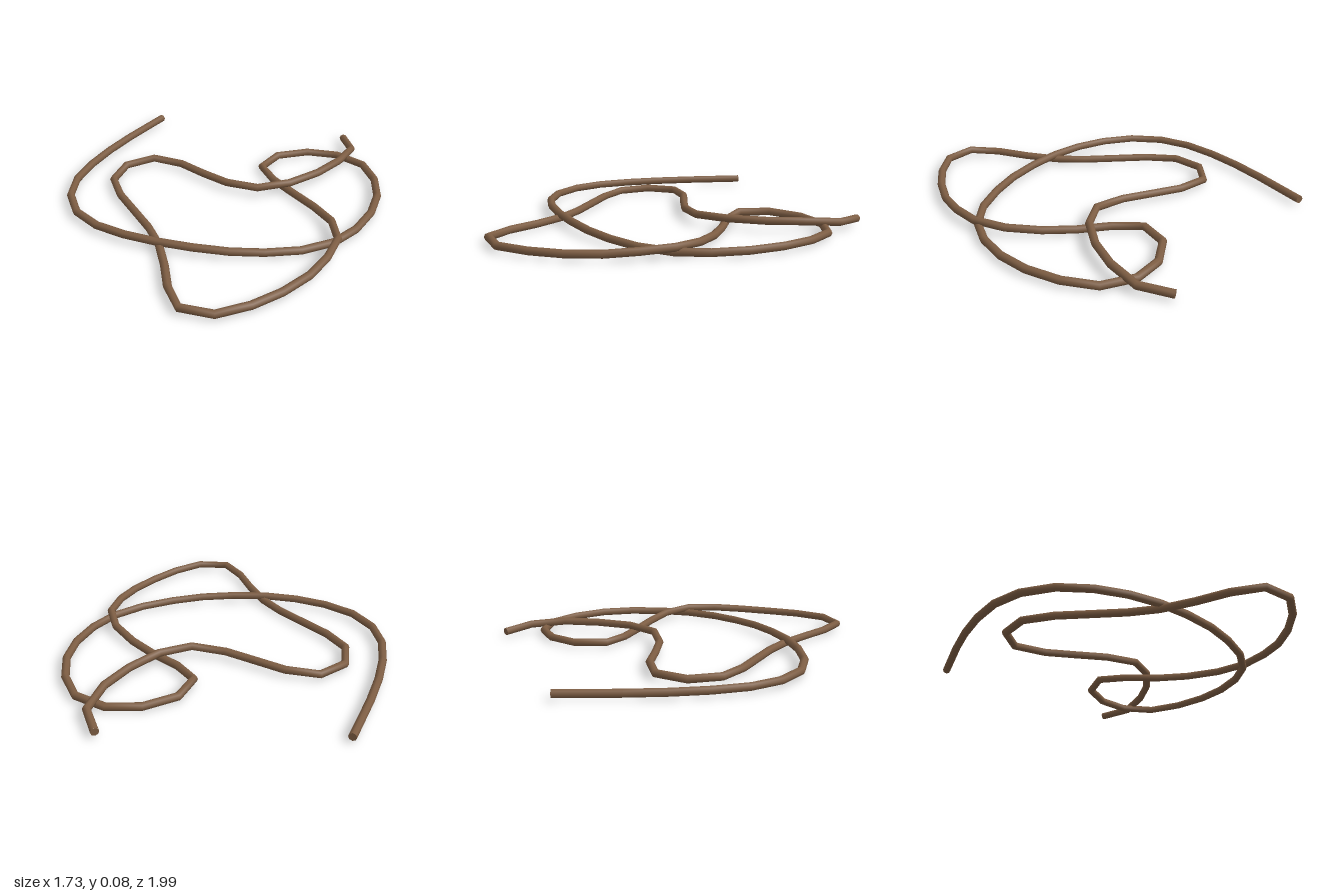
import * as THREE from 'three';

const RADIUS = 0.022;
const SIDES = 8;

// Rope centre line on the ground as x, z pairs, from the left end to the right end
const PLAN = [
  -0.69, -0.86, -0.775, -0.54, -0.82, -0.33, -0.845, -0.135, -0.845, 0.06, -0.795, 0.235,
  -0.68, 0.385, -0.515, 0.475, -0.335, 0.515, -0.145, 0.525, 0.045, 0.51, 0.235, 0.475,
  0.405, 0.415, 0.575, 0.325, 0.715, 0.195, 0.80, 0.035, 0.845, -0.15, 0.845, -0.335,
  0.795, -0.52, 0.695, -0.68, 0.52, -0.755, 0.34, -0.73, 0.18, -0.62, 0.13, -0.45,
  0.24, -0.325, 0.395, -0.215, 0.535, -0.105, 0.665, 0.03, 0.735, 0.195, 0.72, 0.37,
  0.67, 0.535, 0.58, 0.70, 0.47, 0.845, 0.33, 0.965, 0.155, 0.975, 0.045, 0.84,
  -0.04, 0.675, -0.14, 0.51, -0.25, 0.385, -0.395, 0.255, -0.535, 0.13, -0.645, -0.015,
  -0.645, -0.195, -0.52, -0.325, -0.335, -0.31, -0.17, -0.24, 0, -0.175, 0.19, -0.16,
  0.35, -0.265, 0.475, -0.435, 0.56, -0.62, 0.595, -0.82, 0.51, -0.98,
];

// Height keys as [point index, y]: the rope rises and dips where it crosses itself
const HEIGHTS = [
  [0, 0.035], [6, 0.035], [9, 0.048], [14, 0.026], [17, 0.034], [20, 0.025], [23, 0.03],
  [25, 0.024], [28, 0.054], [31, 0.034], [34, 0.034], [37, 0.024], [41, 0.03],
  [45, 0.04], [48, 0.062], [50, 0.062], [51, 0.048], [52, 0.034],
];

function heightAt(i) {
  const k = Math.max(1, HEIGHTS.findIndex(([index]) => index >= i));
  const [i0, y0] = HEIGHTS[k - 1];
  const [i1, y1] = HEIGHTS[k];
  return THREE.MathUtils.lerp(y0, y1, THREE.MathUtils.smoothstep(i, i0, i1));
}

// Straight runs between the points, with averaged directions at the bends
class RopePath extends THREE.Curve {
  constructor(points) {
    super();
    this.points = points;
  }
  getPoint(t, target = new THREE.Vector3()) {
    const f = t * (this.points.length - 1);
    const i = Math.min(Math.floor(f + 1e-6), this.points.length - 2);
    return target.lerpVectors(this.points[i], this.points[i + 1], f - i);
  }
  getPointAt(t, target) {
    return this.getPoint(t, target);
  }
  getTangentAt(t, target = new THREE.Vector3()) {
    const last = this.points.length - 1;
    const i = Math.round(t * last);
    const p = this.points[i];
    const before = p.clone().sub(this.points[Math.max(i - 1, 0)]).normalize();
    const after = this.points[Math.min(i + 1, last)].clone().sub(p).normalize();
    return target.addVectors(before, after).normalize();
  }
}

export function createModel() {
  const group = new THREE.Group();
  group.name = 'looseRope';
  const brown = new THREE.MeshStandardMaterial({ color: 0x7d5d43 });
  brown.name = 'ropeBrown';

  const points = [];
  for (let i = 0; i < PLAN.length / 2; i++) {
    points.push(new THREE.Vector3(PLAN[2 * i], heightAt(i), PLAN[2 * i + 1]));
  }
  const path = new RopePath(points);

  // Rope strand
  const strand = new THREE.Mesh(
    new THREE.TubeGeometry(path, points.length - 1, RADIUS, SIDES, false), brown);
  strand.name = 'strand';
  group.add(strand);

  // Flat cut ends
  for (const t of [0, 1]) {
    const end = new THREE.Mesh(new THREE.CircleGeometry(RADIUS, SIDES), brown);
    end.name = t ? 'rightEnd' : 'leftEnd';
    end.position.copy(path.getPoint(t));
    const outward = path.getTangentAt(t).multiplyScalar(t ? 1 : -1);
    end.lookAt(end.position.clone().add(outward));
    group.add(end);
  }
  return group;
}
